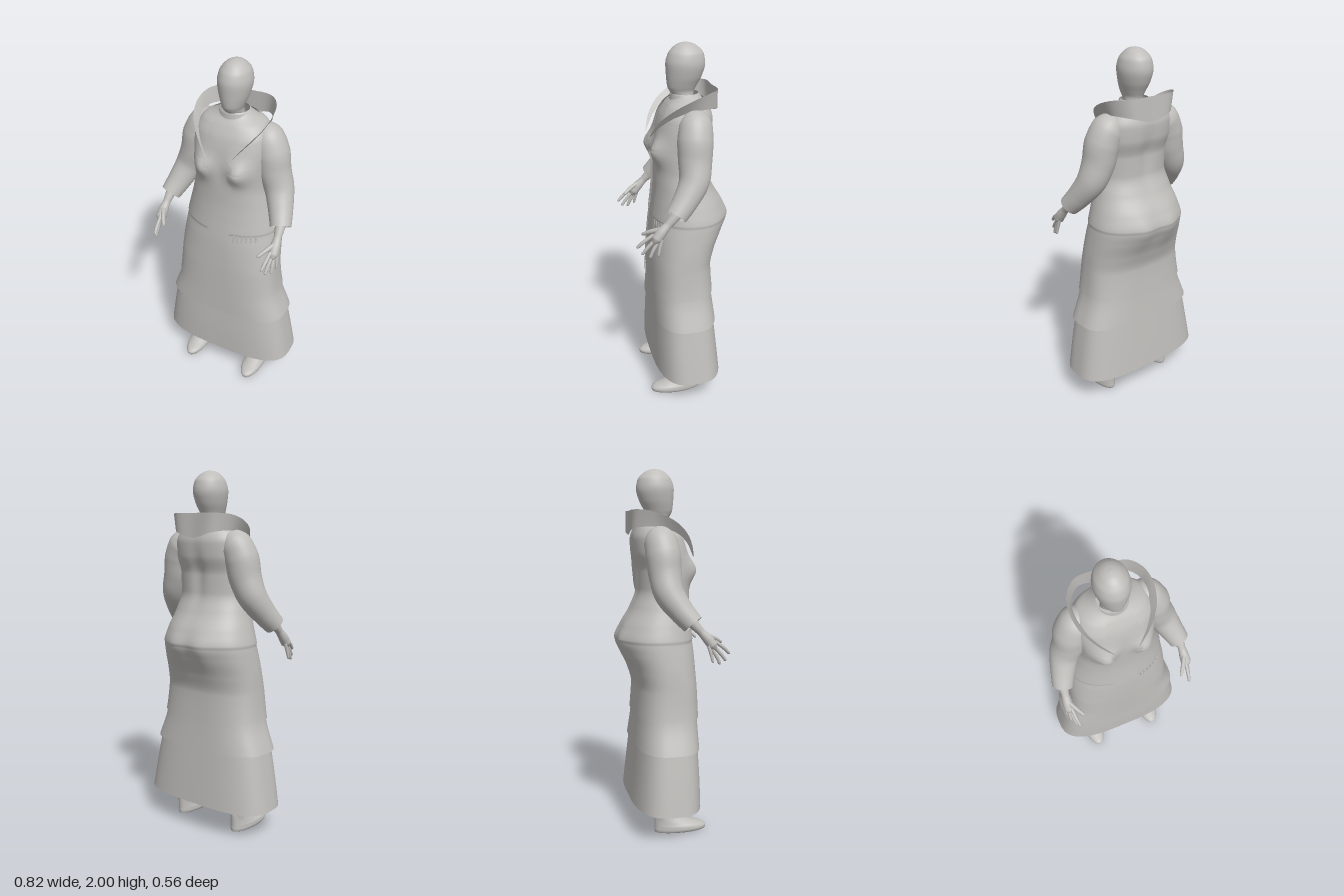
import * as THREE from 'three';

const cloth = new THREE.MeshStandardMaterial({ color: 0xc0bebb, side: THREE.DoubleSide });
cloth.name = 'plain grey';

// Smooth grid surface: fn(u, v) -> [x, y, z]; optionally closed in u or mirrored in x
function grid(fn, nu, nv, closed = false, mirror = false) {
  const pos = [], idx = [], cols = closed ? nu : nu + 1;
  for (let j = 0; j <= nv; j++) for (let i = 0; i < cols; i++) {
    const [x, y, z] = fn(i / nu, j / nv);
    pos.push(mirror ? -x : x, y, z);
  }
  for (let j = 0; j < nv; j++) for (let i = 0; i < nu; i++) {
    const k = (i + 1) % cols;
    const a = j * cols + i, b = j * cols + k, c = b + cols, d = a + cols;
    if (mirror) idx.push(a, c, b, a, d, c);
    else idx.push(a, b, c, a, c, d);
  }
  const g = new THREE.BufferGeometry();
  g.setAttribute('position', new THREE.Float32BufferAttribute(pos, 3));
  g.setIndex(idx);
  g.computeVertexNormals();
  return g;
}

// Section at height y from rows [y, halfWidth, zFront, zBack, roundness], without overshoot
function section(rows, y) {
  let i = 0;
  while (i < rows.length - 2 && y > rows[i + 1][0]) i++;
  const h = rows[i + 1][0] - rows[i][0];
  const t = THREE.MathUtils.clamp((y - rows[i][0]) / h, 0, 1);
  const slope = (k, c) => (rows[k + 1][c] - rows[k][c]) / (rows[k + 1][0] - rows[k][0]);
  const tangent = (k, c) => {
    if (k === 0) return slope(0, c);
    if (k === rows.length - 1) return slope(k - 1, c);
    const p = slope(k - 1, c), q = slope(k, c);
    return p * q <= 0 ? 0 : 2 * p * q / (p + q);
  };
  return [1, 2, 3, 4].map(c =>
    (1 + 2 * t) * (1 - t) ** 2 * rows[i][c] + t * (1 - t) ** 2 * h * tangent(i, c) +
    t * t * (3 - 2 * t) * rows[i + 1][c] + t * t * (t - 1) * h * tangent(i + 1, c));
}

// Point on a super-ellipse section; angle 0 is the front, growing towards +x
function ringPoint([hw, zf, zb, n], y, angle, off = 0) {
  const s = Math.sin(angle), c = Math.cos(angle), e = 2 / n;
  const mid = (zf + zb) / 2, depth = (zf - zb) / 2 + off;
  return [(hw + off) * Math.sign(s) * Math.abs(s) ** e, y, mid + depth * Math.sign(c) * Math.abs(c) ** e];
}

function loft(rows, { segs = 48, sub = 5, x0 = 0, mirror = false, shape = p => p } = {}) {
  const nv = (rows.length - 1) * sub;
  return grid((u, v) => {
    const k = v * (rows.length - 1), i = Math.min(Math.floor(k + 1e-6), rows.length - 2);
    const y = THREE.MathUtils.lerp(rows[i][0], rows[i + 1][0], k - i);
    const p = shape(ringPoint(section(rows, y), y, u * Math.PI * 2));
    return [p[0] + x0, p[1], p[2]];
  }, segs, nv, true, mirror);
}

// Round limb through points [x, y, z, radius]
function limb(points, mirror, segs = 24, sub = 6) {
  const curve = new THREE.CatmullRomCurve3(points.map(p => new THREE.Vector3(p[0], p[1], p[2])));
  const ref = new THREE.Vector3(1, 1, 0), last = points.length - 1;
  return grid((u, v) => {
    const t = curve.getTangent(v), n = t.clone().cross(ref).normalize(), b = t.clone().cross(n);
    const i = Math.min(Math.floor(v * last + 1e-6), last - 1);
    const r = THREE.MathUtils.lerp(points[i][3], points[i + 1][3], v * last - i), a = u * Math.PI * 2;
    return curve.getPoint(v).addScaledVector(n, r * Math.cos(a)).addScaledVector(b, r * Math.sin(a)).toArray();
  }, segs, last * sub, true, mirror);
}

const bodyRows = [
  [0.48, 0.368, 0.158, -0.198, 3], [0.65, 0.310, 0.155, -0.182, 2.8], [0.8, 0.293, 0.152, -0.175, 2.6],
  [0.9, 0.287, 0.148, -0.2, 2.4], [1.0, 0.277, 0.142, -0.24, 2.3], [1.07, 0.268, 0.135, -0.262, 2.2],
  [1.15, 0.246, 0.126, -0.238, 2.2], [1.25, 0.215, 0.118, -0.185, 2.2], [1.35, 0.193, 0.116, -0.152, 2.2],
  [1.45, 0.193, 0.112, -0.152, 2.3], [1.55, 0.2, 0.1, -0.176, 2.4], [1.62, 0.195, 0.082, -0.18, 2.4],
  [1.68, 0.165, 0.05, -0.165, 2.3], [1.72, 0.1, 0.02, -0.14, 2], [1.74, 0.075, 0.012, -0.125, 2]];

const hump = (x, y, cx, cy, w, h) => Math.exp(-(((x - cx) / w) ** 2) - ((y - cy) / h) ** 2);

// Bust, seat and spine relief shared by dress and coat
function relief([x, y, z]) {
  const ax = Math.abs(x);
  if (z > 0) z += 0.045 * hump(ax, y, 0.11, 1.455, 0.06, 0.065) * Math.min(1, z / 0.05);
  else if (z < -0.08) {
    z -= 0.014 * hump(ax, y, 0.09, 1.06, 0.06, 0.1);
    z += 0.014 * hump(ax, y, 0, 1.45, 0.04, 0.16);
  }
  return [x, y, z];
}

// Stepped front edge of the coat: [y, distance from the centre]
const coatEdge = [[0.65, 0.1], [1.08, 0.065], [1.19, 0.065], [1.2, 0.08], [1.27, 0.08], [1.32, 0.06], [1.37, 0.075],
  [1.4, 0.05], [1.46, 0.05], [1.47, 0.08], [1.5, 0.08], [1.51, 0.045], [1.6, 0.045], [1.61, 0.08], [1.66, 0.08],
  [1.67, 0.06], [1.71, 0.07]];

function coatPoint(u, v) {
  const y = 0.65 + 1.06 * v, s = section(bodyRows, y);
  let i = 0;
  while (i < coatEdge.length - 2 && y > coatEdge[i + 1][0]) i++;
  const [a, b] = [coatEdge[i], coatEdge[i + 1]];
  const edge = THREE.MathUtils.mapLinear(y, a[0], b[0], a[1], b[1]);
  const start = Math.asin(Math.min(0.95, (edge / s[0]) ** (s[3] / 2)));
  const angle = THREE.MathUtils.lerp(start, Math.PI * 2 - start, u);
  return relief(ringPoint(s, y, angle, y > 1.07 ? 0.011 : 0.007));
}

export function createModel() {
  const model = new THREE.Group();
  const add = (name, geometry) => {
    const m = new THREE.Mesh(geometry, cloth);
    m.name = name;
    model.add(m);
    return m;
  };

  // Head and neck
  add('head', loft([[1.66, 0.058, -0.005, -0.11, 2], [1.72, 0.05, 0, -0.1, 2], [1.745, 0.05, 0.025, -0.102, 2],
    [1.775, 0.06, 0.04, -0.115, 2], [1.83, 0.079, 0.046, -0.144, 2], [1.89, 0.089, 0.049, -0.16, 2],
    [1.94, 0.08, 0.036, -0.152, 2], [1.975, 0.055, 0.008, -0.122, 2], [1.993, 0.029, -0.022, -0.09, 2],
    [2, 0.001, -0.055, -0.057, 2]]));
  add('neckband', loft([[1.69, 0.095, 0.03, -0.135, 2], [1.735, 0.078, 0.025, -0.12, 2]]));

  // Dress with two skirt tiers
  add('dress', loft(bodyRows, { segs: 96, shape: relief }));
  add('lowerSkirt', loft([[0.16, 0.41, 0.16, -0.222, 3], [0.3, 0.386, 0.158, -0.208, 3],
    [0.52, 0.345, 0.148, -0.185, 3]], { segs: 96 }));

  // Open coat
  add('coat', grid(coatPoint, 96, 140));

  // Pleats on the left hip
  for (let i = 0; i < 6; i++) {
    const x = 0.09 + i * 0.022, s = section(bodyRows, 1.045);
    const p = ringPoint(s, 1.045, Math.asin((x / s[0]) ** (s[3] / 2)), 0.008);
    const pleat = add('hipPleat', new THREE.BoxGeometry(0.009, 0.045, 0.005));
    pleat.position.set(...p);
    pleat.rotation.set(0, Math.atan2(x * 0.3, p[2]), -0.15);
  }

  // Wide standing collar between an upper and a lower edge
  const edgeCurve = pts => new THREE.CatmullRomCurve3(
    [...pts.slice(1).reverse().map(([x, y, z]) => [-x, y, z]), ...pts].map(p => new THREE.Vector3(...p)));
  const upper = edgeCurve([[0, 1.775, -0.198], [0.13, 1.775, -0.196], [0.195, 1.768, -0.13], [0.213, 1.742, -0.05],
    [0.198, 1.7, 0.03], [0.155, 1.645, 0.092], [0.11, 1.59, 0.128], [0.065, 1.53, 0.15]]);
  const lower = edgeCurve([[0, 1.645, -0.205], [0.12, 1.675, -0.198], [0.18, 1.685, -0.12], [0.182, 1.675, -0.04],
    [0.163, 1.645, 0.04], [0.12, 1.595, 0.1], [0.09, 1.56, 0.125], [0.06, 1.525, 0.148]]);
  add('collar', grid((u, v) => {
    const p = lower.getPoint(1 - u).lerp(upper.getPoint(1 - u), v);
    return p.toArray();
  }, 80, 6));

  const fingers = {
    indexFinger: [[0.34, 1.09, 0.19, 0.01], [0.335, 1.05, 0.245, 0.01], [0.33, 1.022, 0.274, 0.008], [0.33, 1.018, 0.28, 0]],
    middleFinger: [[0.348, 1.07, 0.18, 0.01], [0.345, 1.02, 0.225, 0.01], [0.342, 0.988, 0.25, 0.008], [0.342, 0.982, 0.255, 0]],
    ringFinger: [[0.355, 1.06, 0.165, 0.01], [0.358, 1.01, 0.197, 0.01], [0.36, 0.974, 0.213, 0.008], [0.36, 0.967, 0.216, 0]],
    littleFinger: [[0.362, 1.07, 0.15, 0.009], [0.367, 1.02, 0.165, 0.009], [0.371, 0.985, 0.172, 0.007], [0.371, 0.978, 0.173, 0]],
    thumb: [[0.345, 1.12, 0.15, 0.013], [0.318, 1.1, 0.2, 0.012], [0.292, 1.078, 0.238, 0.009], [0.286, 1.073, 0.246, 0]]
  };

  for (const [side, mirror] of [['left', false], ['right', true]]) {
    // Arms
    add(side + 'Sleeve', limb([[0.13, 1.635, -0.07, 0.06], [0.18, 1.605, -0.066, 0.088], [0.215, 1.53, -0.058, 0.094],
      [0.234, 1.44, -0.053, 0.089], [0.272, 1.34, -0.04, 0.08], [0.31, 1.25, 0.015, 0.067],
      [0.341, 1.18, 0.073, 0.057]], mirror, 32));
    add(side + 'Forearm', limb([[0.31, 1.26, 0.01, 0.036], [0.335, 1.2, 0.06, 0.031], [0.345, 1.14, 0.115, 0.021],
      [0.348, 1.105, 0.148, 0.027], [0.35, 1.07, 0.175, 0.028], [0.351, 1.048, 0.19, 0.012],
      [0.351, 1.044, 0.193, 0]], mirror));
    for (const name in fingers) add(side + name[0].toUpperCase() + name.slice(1), limb(fingers[name], mirror, 10, 4));

    // Legs and pointed shoes
    add(side + 'TrouserLeg', loft([[0.12, 0.082, 0.02, -0.142, 2], [0.5, 0.09, 0.035, -0.15, 2]],
      { x0: 0.2, mirror, segs: 32 }));
    add(side + 'Ankle', loft([[0.07, 0.042, -0.01, -0.1, 2], [0.12, 0.045, -0.015, -0.105, 2],
      [0.3, 0.06, 0, -0.12, 2]], { x0: 0.2, mirror, segs: 24 }));
    add(side + 'Shoe', loft([[0, 0.001, 0.04, 0.038, 2], [0.002, 0.055, 0.186, -0.105, 2], [0.02, 0.063, 0.19, -0.107, 2],
      [0.035, 0.062, 0.175, -0.106, 2], [0.05, 0.056, 0.13, -0.106, 2], [0.075, 0.048, 0.06, -0.106, 2],
      [0.1, 0.042, 0.012, -0.105, 2], [0.103, 0.036, 0, -0.1, 2]], { x0: 0.2, mirror, segs: 32 }));
  }
  return model;
}
